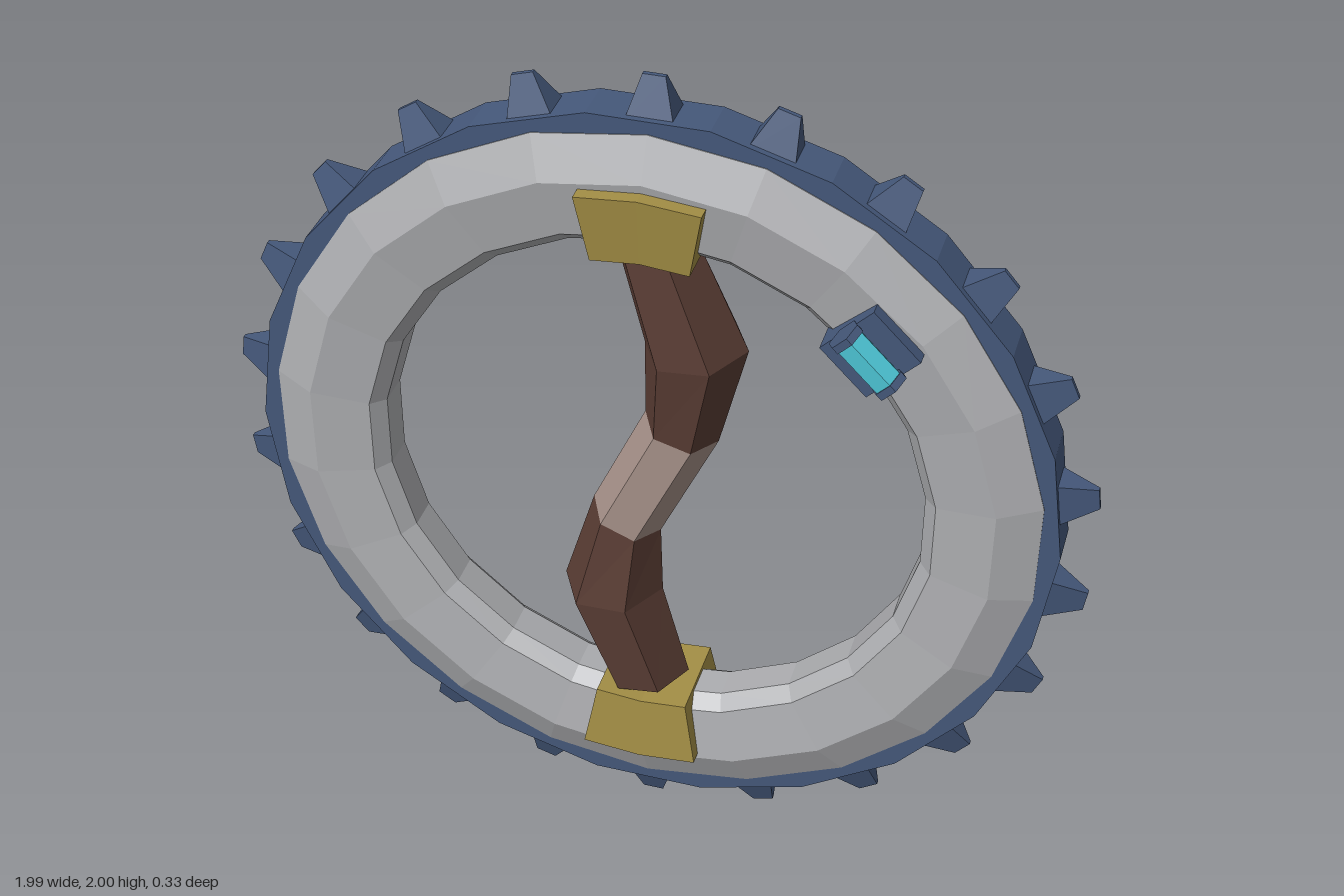
import * as THREE from 'three';

const mat = (name, color) => {
  const m = new THREE.MeshStandardMaterial({ color });
  m.name = name;
  return m;
};

// Faceted normals
const flat = (g) => {
  const f = g.index ? g.toNonIndexed() : g;
  f.computeVertexNormals();
  return f;
};

// Moves every vertex by a rule
const warp = (g, rule) => {
  const p = g.attributes.position;
  const v = new THREE.Vector3();
  for (let i = 0; i < p.count; i++) {
    v.fromBufferAttribute(p, i);
    rule(v);
    p.setXYZ(i, v.x, v.y, v.z);
  }
  return flat(g);
};

export function createModel() {
  const steel = mat('grey steel', 0xacadb0);
  const blue = mat('dark blue metal', 0x45587a);
  const gold = mat('old gold', 0xa38e45);
  const wood = mat('brown grip', 0x5a3d34);
  const wrap = mat('pale wrap', 0xa59088);
  const glow = mat('cyan glass', 0x4cc4d4);

  const model = new THREE.Group();
  const wheel = new THREE.Group();
  wheel.name = 'wheel';
  wheel.position.set(0, 1, -0.017);
  model.add(wheel);

  const add = (parent, name, geometry, material, x = 0, y = 0, z = 0) => {
    const m = new THREE.Mesh(geometry, material);
    m.name = name;
    m.position.set(x, y, z);
    parent.add(m);
    return m;
  };

  // Rings: closed profiles of [radius, depth] turned about z
  const N = 22;
  const ring = (profile, start) => flat(new THREE.LatheGeometry(
    [...profile, profile[0]].map(([r, d]) => new THREE.Vector2(r, d)), N, start).rotateX(Math.PI / 2));
  add(wheel, 'innerRing', ring([
    [0.63, -0.04], [0.66, -0.075], [0.795, -0.097], [0.89, -0.055],
    [0.89, 0.055], [0.795, 0.097], [0.66, 0.075], [0.63, 0.04],
  ], 0), steel);
  add(wheel, 'outerRim', ring([
    [0.87, -0.053], [0.928, -0.053], [0.928, 0.053], [0.87, 0.053],
  ], Math.PI / N), blue);

  // Teeth around the rim, one per flat
  const toothShape = warp(new THREE.BoxGeometry(0.11, 0.1, 0.09), (v) => {
    if (v.y > 0) { v.x *= 0.45; v.z *= 0.12; }
    v.y += 0.95;
  });
  for (let i = 0; i < N; i++) {
    add(wheel, 'tooth', toothShape, blue).rotation.z = (i * 2 * Math.PI) / N;
  }

  // Curved clamps holding the grip at top and bottom
  const clampShape = warp(new THREE.BoxGeometry(1, 1, 1, 2, 1, 1), (v) => {
    const a = v.x * 0.356;
    const r = v.y > 0 ? 0.775 : 0.615;
    v.set(r * Math.sin(a), r * Math.cos(a), v.z * (v.y > 0 ? 0.256 : 0.222));
  });
  for (const turn of [0, Math.PI]) add(wheel, 'clamp', clampShape, gold).rotation.z = turn;

  // Bent six-sided grip: sections of [x, y, radius, tilt]
  const sections = [
    [0.003, 0.61, 0.09, 0.24], [0.095, 0.355, 0.117, 0.09], [0.064, 0.135, 0.088, -0.27],
    [-0.064, -0.14, 0.086, -0.38], [-0.098, -0.35, 0.119, 0.02], [-0.013, -0.6, 0.1, 0.13],
  ];
  const grip = (from, to) => {
    const n = to - from;
    return warp(new THREE.CylinderGeometry(1, 1, 1, 6, n, false, Math.PI / 6), (v) => {
      const [x, y, r, tilt] = sections[from + Math.round((0.5 - v.y) * n)];
      v.set(x + v.x * r * Math.cos(tilt), y + v.x * r * Math.sin(tilt), v.z * r * 1.06);
    });
  };
  add(wheel, 'upperGrip', grip(0, 2), wood);
  add(wheel, 'middleGrip', grip(2, 3), wrap);
  add(wheel, 'lowerGrip', grip(3, 5), wood);

  // Lamp block on the ring; local x runs along the rim, y outwards
  const lamp = new THREE.Group();
  lamp.name = 'lamp';
  lamp.rotation.z = -Math.PI / 4;
  wheel.add(lamp);
  const box = (w, h, d) => flat(new THREE.BoxGeometry(w, h, d));
  const bar = (r, l) => flat(new THREE.CylinderGeometry(r, r, l, 6, 1, false, Math.PI / 6).rotateZ(Math.PI / 2));
  add(lamp, 'lampBlock', box(0.147, 0.154, 0.255), blue, 0, 0.705, 0);
  add(lamp, 'lampTube', bar(0.036, 0.13), glow, 0, 0.705, 0.148);
  for (const s of [-1, 1]) add(lamp, 'lampCap', bar(0.04, 0.018), blue, s * 0.068, 0.705, 0.147);
  add(lamp, 'lampScrew', flat(new THREE.CylinderGeometry(0.02, 0.01, 0.022, 6).rotateX(Math.PI / 2)),
    blue, 0, 0.705, -0.138);

  return model;
}
